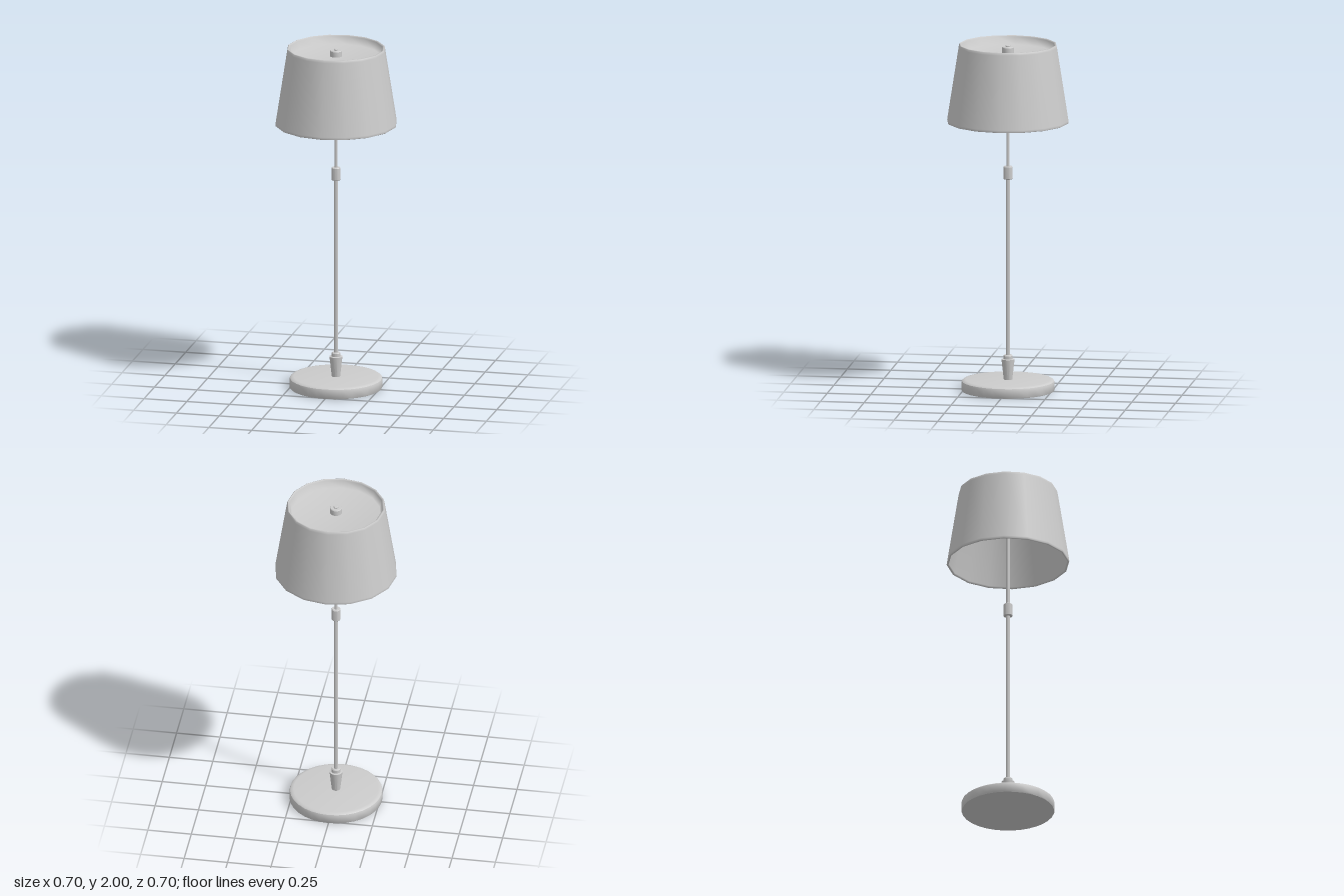
import * as THREE from 'three';
import { toCreasedNormals } from 'three/addons/utils/BufferGeometryUtils.js';

const material = new THREE.MeshStandardMaterial({ color: 0xcccccc });

// Revolve a profile of [radius, height] pairs, listed bottom to top on the outside.
function turned(name, profile, sides, crease = 0.6) {
  const points = profile.map(([r, y]) => new THREE.Vector2(r, y));
  let geometry = new THREE.LatheGeometry(points, sides);
  if (crease) geometry = toCreasedNormals(geometry, crease);
  const mesh = new THREE.Mesh(geometry, material);
  mesh.name = name;
  return mesh;
}

export function createModel() {
  const lamp = new THREE.Group();
  lamp.name = 'tableLamp';

  // Round weighted foot with a softened upper edge
  lamp.add(turned('base', [
    [0, 0], [0.262, 0], [0.265, 0.005], [0.265, 0.045],
    [0.262, 0.055], [0.254, 0.061], [0.24, 0.063], [0, 0.063],
  ], 32));

  // Flared socket holding the pole, with a narrower neck on top
  lamp.add(turned('poleSocket', [
    [0, 0.06], [0.024, 0.06], [0.038, 0.18], [0.026, 0.182],
    [0.026, 0.2], [0.022, 0.205], [0, 0.205],
  ], 16));

  // Telescoping pole: thicker lower tube, thinner upper tube
  lamp.add(turned('lowerPole', [[0, 0.2], [0.012, 0.2], [0.012, 1.23], [0, 1.23]], 16));
  lamp.add(turned('upperPole', [[0, 1.23], [0.01, 1.23], [0.01, 1.96], [0, 1.96]], 16));

  // Height adjustment collar
  lamp.add(turned('heightCollar', [
    [0, 1.22], [0.023, 1.22], [0.026, 1.224], [0.026, 1.291],
    [0.023, 1.295], [0, 1.295],
  ], 16));

  // Tapered shade: underside of the top, inner wall, lower rim, outer wall, lip, recessed top
  lamp.add(turned('shade', [
    [0, 1.942], [0.25, 1.942], [0.272, 1.93], [0.337, 1.56], [0.339, 1.551],
    [0.345, 1.55], [0.349, 1.553], [0.348, 1.565], [0.282, 1.985],
    [0.279, 1.998], [0.274, 2], [0.267, 1.993], [0.255, 1.95], [0, 1.95],
  ], 16, 0));

  // Retaining nut and the pin through it
  lamp.add(turned('shadeNut', [
    [0, 1.95], [0.034, 1.95], [0.034, 1.981], [0.031, 1.985], [0, 1.985],
  ], 16));
  lamp.add(turned('shadePin', [[0, 1.98], [0.013, 1.98], [0.013, 1.991], [0.01, 1.993], [0, 1.993]], 12));

  return lamp;
}
